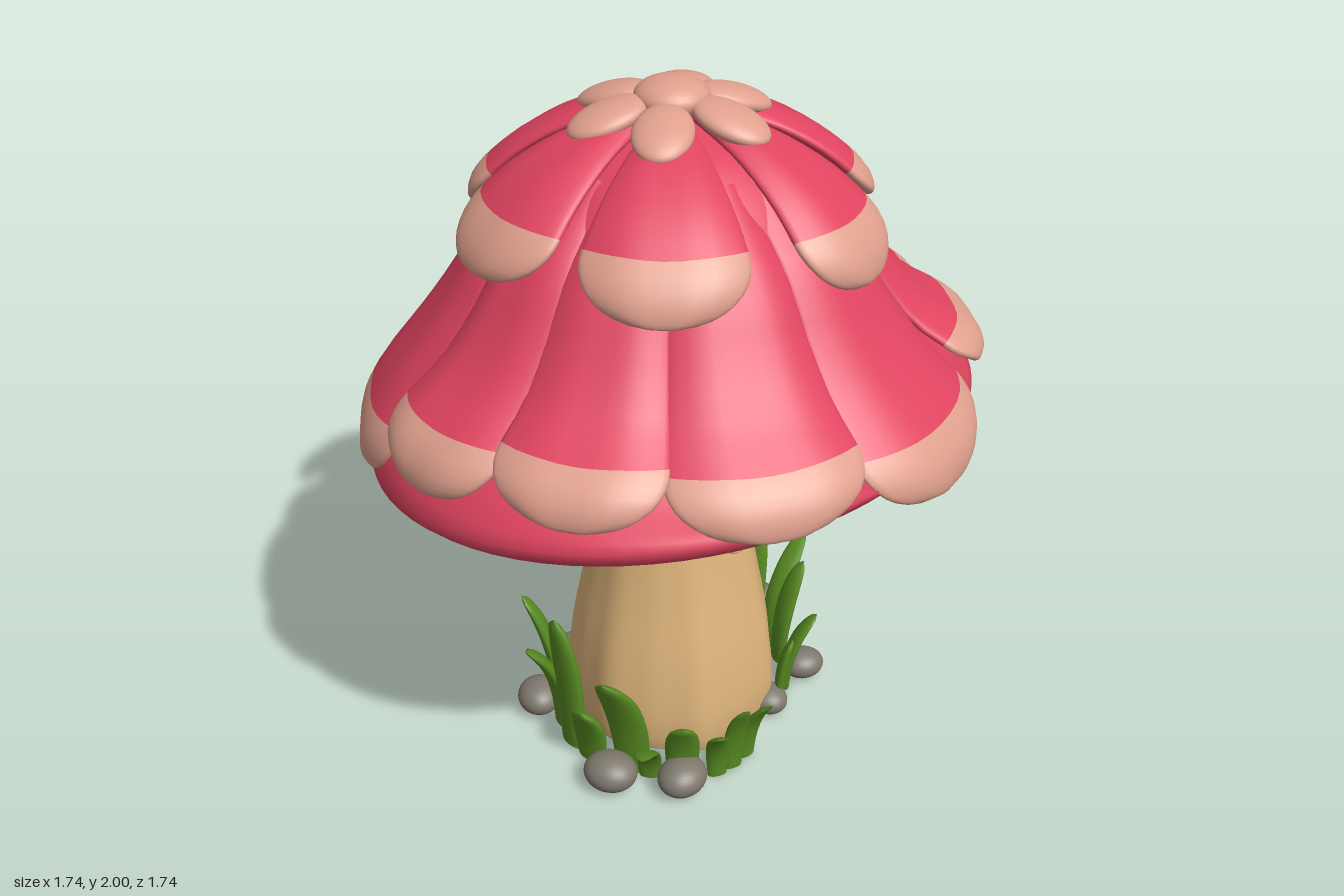
import * as THREE from 'three';

const { sin, cos, PI, sqrt, max, min, abs } = Math;
const rad = (d) => d * PI / 180;
const paint = (name, color) => {
  const m = new THREE.MeshStandardMaterial({ color });
  m.name = name;
  return m;
};

// Grid surface closed around its columns; fn(row, turn 0..2PI) returns [x, y, z].
function loft(rows, cols, fn, splitRow) {
  const pos = [], idx = [];
  for (let i = 0; i < rows; i++)
    for (let j = 0; j < cols; j++) pos.push(...fn(i, j / cols * PI * 2));
  for (let i = 0; i < rows - 1; i++)
    for (let j = 0; j < cols; j++) {
      const a = i * cols + j, b = i * cols + (j + 1) % cols;
      idx.push(a, b, a + cols, b, b + cols, a + cols);
    }
  const g = new THREE.BufferGeometry();
  g.setAttribute('position', new THREE.Float32BufferAttribute(pos, 3));
  g.setIndex(idx);
  if (splitRow) {
    const n = splitRow * cols * 6;
    g.addGroup(0, n, 0);
    g.addGroup(n, idx.length - n, 1);
  }
  g.computeVertexNormals();
  return g;
}

const spline = (pts) => new THREE.SplineCurve(pts.map(([r, y]) => new THREE.Vector2(r, y)));

// Padded petal lying along a cap profile, with a rounded tip in the second colour.
function petalGeometry(profile, angle, half, thick, tipStart) {
  const body = 10, tip = 10;
  return loft(body + tip + 1, 32, (i, phi) => {
    const a = max(0, (i - body) / tip) * PI / 2;
    const along = i <= body ? tipStart * i / body : tipStart + (1 - tipStart) * sin(a);
    // the colour edge sags toward the tip in the middle of the petal
    const v = min(1, along + 0.03 * sin(phi) ** 2 * min(1, i / body) * (1 - sin(a)));
    const w = Math.pow(max(0, cos(a)), 0.92);
    const p = profile.getPointAt(v), t = profile.getTangentAt(v);
    const puff = thick * (0.6 + 0.4 * v) * sqrt(w) * sin(phi) * (1 + 0.08 * cos(6 * phi));
    const r = p.x - t.y * puff, y = p.y + t.x * puff;
    const th = angle - half * w * cos(phi);
    return [r * cos(th), y, r * sin(th)];
  }, body);
}

// Leans the lower cap so its right rim sits higher.
function lean(r, y, th, weight) {
  const x = r * cos(th);
  return [x - 0.015 * weight, y + 0.145 * x * weight, r * sin(th)];
}

export function createModel() {
  const red = paint('cap red', 0xe0445f), pink = paint('petal tip pink', 0xe0a08d);
  const tan = paint('stem tan', 0xe0b67c), gillTan = paint('gill brown', 0xbd9c60);
  const green = paint('grass green', 0x588b22), grey = paint('stone grey', 0x7e786d);
  const model = new THREE.Group();
  model.name = 'mushroom';
  const add = (name, geo, mat, parent = model) => {
    const m = new THREE.Mesh(geo, mat);
    m.name = name;
    parent.add(m);
    return m;
  };
  const group = (name) => {
    const g = new THREE.Group();
    g.name = name;
    model.add(g);
    return g;
  };

  // Stem with soft lengthwise ridges
  const stem = spline([[0.2, 1.26], [0.188, 1.1], [0.19, 1], [0.2, 0.88], [0.222, 0.7],
    [0.255, 0.5], [0.292, 0.3], [0.31, 0.12], [0.3, 0.012]]);
  add('stem', loft(34, 72, (i, th) => {
    const p = i < 32 ? stem.getPointAt(i / 31) : new THREE.Vector2(i === 32 ? 0.29 : 0, 0);
    const ridge = max(0, 1 - p.y) * (0.025 * cos(7 * th) + 0.012 * cos(13 * th + 1));
    const r = p.x * (1 + ridge);
    return [r * cos(th), p.y, r * sin(th)];
  }), tan);

  // Ruffled skirt around the stem
  const skirt = spline([[0.19, 0.95], [0.208, 0.87], [0.235, 0.78], [0.262, 0.725],
    [0.283, 0.7], [0.276, 0.68], [0.25, 0.695], [0.2, 0.74]]);
  add('stemSkirt', loft(22, 108, (i, th) => {
    const p = skirt.getPointAt(i / 21), f = min(1, max(0, (0.83 - p.y) / 0.13));
    const r = p.x + f * (0.01 * cos(9 * th + 0.8) + 0.005 * cos(14 * th));
    return [r * cos(th), p.y + f * (0.014 * cos(9 * th) + 0.01 * cos(5 * th + 1)), r * sin(th)];
  }), tan);

  // Cap core with a rolled rim
  const core = spline([[0.001, 1.93], [0.25, 1.84], [0.4, 1.7], [0.5, 1.5], [0.59, 1.34],
    [0.69, 1.22], [0.785, 1.14], [0.836, 1.08], [0.824, 1.03], [0.77, 1.005], [0.72, 1.02], [0.69, 1.07]]);
  add('capCore', loft(48, 72, (i, th) => {
    const p = core.getPointAt(i / 47);
    return lean(p.x, p.y, th, 1 - THREE.MathUtils.smoothstep(p.y, 1.04, 1.2));
  }), red);

  // Swirled gills under the cap
  add('gills', loft(16, 448, (i, th) => {
    const t = i / 15, r = 0.74 - 0.6 * t;
    const wave = (0.012 - 0.032 * abs(sin(28 * th))) * sin(PI * (0.15 + 0.8 * t));
    return lean(r, 1.04 + 0.16 * sin(t * PI / 2) + wave, th + 0.35 * t * t, 1);
  }), gillTan);

  // Lower petals: [centre angle, half width, tip height]
  const lower = group('lowerPetals');
  for (const [ang, half, tipY] of [[10, 22, 1.06], [50, 19.5, 1.13], [85, 17, 1.16],
    [116, 16, 1.12], [151, 19.5, 0.95], [188, 20, 0.92], [231, 22, 1], [266, 15.5, 1.13],
    [296, 15.5, 1.15], [330, 18.5, 1.17]]) {
    const d = tipY - 1.13;
    const prof = spline([[0.28, 1.8], [0.46, 1.63], [0.555, 1.48 + 0.05 * d], [0.65, 1.355 + 0.15 * d],
      [0.755, 1.27 + 0.45 * d], [0.825, 1.205 + 0.75 * d], [0.845, tipY]]);
    add('lowerPetal', petalGeometry(prof, rad(ang), rad(half), 0.042, 0.8), [red, pink], lower);
  }

  // Upper petals: [centre angle, half width, tip height]
  const upper = group('upperPetals');
  for (const [ang, half, tipY] of [[7, 23, 1.56], [70, 25, 1.575], [129, 26, 1.585],
    [187, 23, 1.56], [253, 25, 1.57], [309, 25, 1.59]]) {
    const prof = spline([[0.06, 1.92], [0.25, 1.865], [0.39, 1.79], [0.485, 1.71],
      [0.545, 1.64], [0.57, tipY]]);
    add('upperPetal', petalGeometry(prof, rad(ang), rad(half), 0.042, 0.73), [red, pink], upper);
  }

  // Small flower on top
  const crown = group('crown');
  const ball = new THREE.SphereGeometry(1, 32, 20);
  for (const ang of [10, 75, 135, 190, 258, 312]) {
    const th = rad(ang);
    const p = add('crownPetal', ball, pink, crown);
    p.scale.set(0.112, 0.036, 0.08);
    p.position.set(0.177 * cos(th), 1.915, 0.177 * sin(th));
    p.rotation.set(0, -th, -0.3, 'YXZ');
  }
  const button = add('crownButton', ball, pink, crown);
  button.scale.set(0.1, 0.052, 0.1);
  button.position.y = 1.948;

  // Grass blades: [base x, base z, tip x, tip z, height, half width]
  const grass = group('grass');
  for (const [bx, bz, tx, tz, h, w] of [
    [-0.31, 0.17, -0.4, 0.21, 0.39, 0.045], [-0.18, 0.34, -0.22, 0.36, 0.46, 0.055],
    [-0.34, 0.1, -0.4, 0.13, 0.25, 0.036], [-0.1, 0.38, -0.1, 0.45, 0.22, 0.055],
    [0.03, 0.38, -0.01, 0.5, 0.39, 0.058], [-0.25, 0.27, -0.29, 0.41, 0.36, 0.045],
    [0.18, 0.36, 0.21, 0.44, 0.25, 0.048], [0.27, 0.31, 0.31, 0.42, 0.23, 0.034],
    [0.09, 0.39, 0.14, 0.57, 0.22, 0.036], [0.3, 0.26, 0.36, 0.32, 0.27, 0.034],
    [0.32, 0.2, 0.41, 0.25, 0.25, 0.032],
    [0.33, -0.07, 0.37, -0.06, 0.25, 0.038], [0.32, -0.15, 0.4, -0.2, 0.26, 0.038],
    [0.13, -0.35, 0.13, -0.42, 0.46, 0.052], [0.21, -0.32, 0.25, -0.53, 0.33, 0.044],
    [0.04, -0.37, 0.03, -0.49, 0.42, 0.05], [0.26, -0.26, 0.31, -0.33, 0.35, 0.042],
    [-0.05, -0.37, -0.07, -0.52, 0.3, 0.045], [-0.15, -0.35, -0.2, -0.43, 0.28, 0.048],
    [-0.24, -0.29, -0.31, -0.36, 0.25, 0.038]]) {
    const len = Math.hypot(bx, bz), ox = bx / len, oz = bz / len;
    add('grassBlade', loft(15, 12, (i, phi) => {
      const t = i / 14, bend = t * t;
      const wide = w * (0.85 + 1.25 * t) * sqrt(1 - t);
      const s = wide * cos(phi), o = 0.45 * wide * sin(phi);
      return [bx + (tx - bx) * bend - oz * s + ox * o, h * (1.25 * t - 0.25 * bend),
        bz + (tz - bz) * bend + ox * s + oz * o];
    }), green, grass);
  }

  // Stones around the foot: [x, z, half width]
  const stones = group('stones');
  [[0, 0.47, 0.08], [0.2, 0.41, 0.078], [0.31, -0.02, 0.064], [0.355, -0.22, 0.066],
    [-0.34, 0.24, 0.075], [0.1, -0.47, 0.078], [-0.17, -0.42, 0.08], [-0.34, -0.02, 0.064]]
    .forEach(([x, z, s], i) => {
      const m = add('stone', ball, grey, stones);
      m.scale.set(s, s * 0.68, s * 0.88);
      m.position.set(x, s * 0.66, z);
      m.rotation.y = i * 1.3;
    });

  return model;
}
